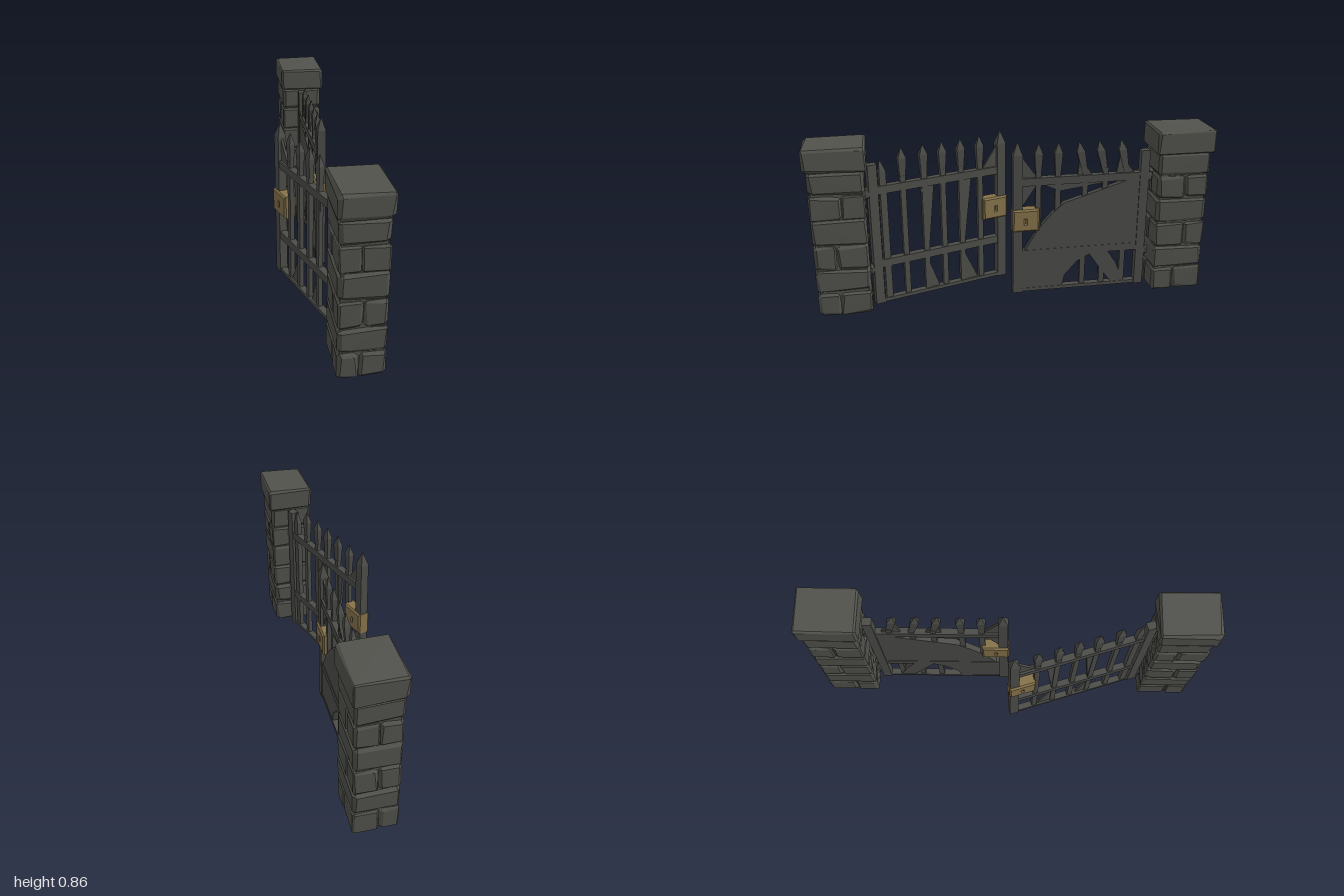
import * as THREE from 'three';
import { ConvexGeometry } from 'three/addons/geometries/ConvexGeometry.js';

const material = (name, color, side = THREE.FrontSide) => {
  const m = new THREE.MeshStandardMaterial({ color, side });
  m.name = name;
  return m;
};
const V = (x, y, z) => new THREE.Vector3(x, y, z);

export function createModel() {
  const stone = material('stone', 0x52524d);
  const iron = material('iron', 0x4c4c49, THREE.DoubleSide);
  const brass = material('brass', 0x86734b);

  let seed = 7;
  const rand = () => {
    seed = (seed * 16807) % 2147483647;
    return seed / 2147483647 - 0.5;
  };

  const add = (group, name, geometry, mat) => {
    const mesh = new THREE.Mesh(geometry, mat);
    mesh.name = name;
    group.add(mesh);
    return mesh;
  };

  // Rough hewn block: a box with uneven chamfered corners
  const block = (x0, x1, y0, y1, z0, z1, rough) => {
    const points = [];
    const c = [(x0 + x1) / 2, (y0 + y1) / 2, (z0 + z1) / 2];
    const h = [(x1 - x0) / 2, (y1 - y0) / 2, (z1 - z0) / 2];
    for (const sx of [-1, 1]) for (const sy of [-1, 1]) for (const sz of [-1, 1]) {
      const s = [sx, sy, sz];
      const cut = rough * (1 + rand());
      for (let axis = 0; axis < 3; axis++) {
        const p = c.map((v, i) => v + s[i] * (h[i] - (i === axis ? Math.abs(rand()) * 0.004 : cut * (1 + rand() * 0.6))));
        points.push(V(...p));
      }
    }
    return new ConvexGeometry(points);
  };

  // Pillars: solid and split courses alternate under a wide capstone
  const courses = [0, 0.125, 0.247, 0.377, 0.508, 0.63, 0.748];
  const makePillar = (name, zc) => {
    const g = new THREE.Group();
    g.name = name;
    const [x0, x1, z0, z1] = [-0.04, 0.176, zc - 0.132, zc + 0.132];
    const core = add(g, 'pillarCore', new THREE.BoxGeometry(0.19, 0.75, 0.235), stone);
    core.position.set(0.068, 0.385, zc);
    for (let i = 0; i < 6; i++) {
      const y0 = courses[i] + 0.001, y1 = courses[i + 1] - 0.001;
      if (i % 2) {
        add(g, 'wideStone', block(x0, x1, y0, y1, z0, z1, 0.014), stone);
        continue;
      }
      const xm = 0.066 + rand() * 0.025, zm = zc + rand() * 0.05;
      for (const [a, b] of [[x0, xm], [xm, x1]])
        for (const [c, d] of [[z0, zm], [zm, z1]])
          add(g, 'cornerStone', block(a, b, y0, y1, c, d, 0.012), stone);
    }
    add(g, 'capstone', block(-0.049, 0.187, 0.745, 0.862, zc - 0.148, zc + 0.148, 0.014), stone);
    return g;
  };

  // Straight or leaning bar made of rectangular sections [u, y, halfWidth, halfDepth]
  const bar = (sections) => new ConvexGeometry(sections.flatMap(([u, y, a, b]) =>
    [[-a, -b], [a, -b], [a, b], [-a, b]].map(([p, q]) => V(u + p, y, q))));

  const plate = (points, depth) => {
    const shape = new THREE.Shape(points.map(([u, y]) => new THREE.Vector2(u, y)));
    const geo = new THREE.ExtrudeGeometry(shape, { depth, bevelEnabled: false });
    return geo.translate(0, 0, -depth / 2);
  };

  // Gate leaf: u = 0 is the free edge, u = length the hinge edge
  const makeLeaf = (name, length, spikes, sheets) => {
    const g = new THREE.Group();
    g.name = name;
    add(g, 'lockPost', bar([[0.024, 0, 0.024, 0.021], [0.024, 0.75, 0.024, 0.021]]), iron);
    add(g, 'lockPostTip', bar([[0.024, 0.75, 0.024, 0.021], [0.024, 0.815, 0.001, 0.001]]), iron);
    add(g, 'hingePost', bar([[length - 0.023, 0, 0.023, 0.02], [length - 0.023, 0.742, 0.023, 0.02]]), iron);

    for (const [y0, y1] of [[0.003, 0.021], [0.198, 0.238], [0.588, 0.628]]) {
      const rail = add(g, 'rail', new THREE.BoxGeometry(length - 0.03, y1 - y0, 0.034), iron);
      rail.position.set(length / 2, (y0 + y1) / 2, 0);
    }

    // Upright bars with spear heads; lean shifts the tip
    for (const [u, lean] of spikes) {
      add(g, 'upright', bar([[u, 0.01, 0.014, 0.011], [u, 0.66, 0.014, 0.011]]), iron);
      add(g, 'spearHead', bar([[u, 0.63, 0.013, 0.009], [u + lean * 0.75, 0.75, 0.021, 0.014],
        [u + lean, 0.802, 0.001, 0.001]]), iron);
    }

    for (const y of [0.19, 0.6])
      add(g, 'hingeKnuckle', block(length - 0.02, length + 0.02, y - 0.025, y + 0.025, -0.018, 0.018, 0.008), iron);

    for (const [points, depth] of sheets) add(g, 'ironSheet', plate(points, depth), iron);
    add(g, 'brokenCorner', plate([[0.04, 0.62], [0.13, 0.62], [0.045, 0.74]], 0.012), iron);

    // Lock case with a keyhole cut through
    const face = new THREE.Shape([[0.004, 0.356], [0.126, 0.356], [0.126, 0.458], [0.004, 0.458]]
      .map(([u, y]) => new THREE.Vector2(u, y)));
    face.holes.push(new THREE.Path([[0.054, 0.385], [0.054, 0.42], [0.072, 0.42], [0.072, 0.385]]
      .map(([u, y]) => new THREE.Vector2(u, y))));
    const lock = new THREE.ExtrudeGeometry(face, {
      depth: 0.046, bevelThickness: 0.009, bevelSize: 0.008, bevelSegments: 1,
    });
    add(g, 'lockCase', lock.translate(0, 0, -0.023), brass);
    return g;
  };

  const model = new THREE.Group();
  model.name = 'ruinedGate';
  model.add(makePillar('leftPillar', 0.85), makePillar('rightPillar', -0.85));

  // Closed leaf, patched with a torn sheet
  const closed = makeLeaf('closedLeaf', 0.7,
    [[0.13, 0], [0.23, 0], [0.37, -0.035], [0.475, -0.038], [0.585, -0.035]],
    [
      [[[0.66, 0.61], [0.26, 0.485], [0.2, 0.43], [0.13, 0.35], [0.035, 0.19], [0.035, 0.01], [0.26, 0.015],
        [0.275, 0.08], [0.34, 0.155], [0.405, 0.19], [0.46, 0.11], [0.53, 0.015], [0.6, 0.015],
        [0.55, 0.13], [0.5, 0.205], [0.66, 0.215]], 0.03],
      [[[0.04, 0.6], [0.13, 0.6], [0.045, 0.47]], 0.012],
      [[[0.13, 0.6], [0.6, 0.6], [0.24, 0.55]], 0.02],
      [[[0.33, 0.62], [0.41, 0.62], [0.34, 0.73]], 0.012],
      [[[0.53, 0.62], [0.63, 0.62], [0.55, 0.73]], 0.012],
    ]);
  closed.position.set(0.063, 0, 0);
  closed.rotation.y = Math.PI / 2;

  // Open leaf, swung outward on its hinge
  const open = makeLeaf('openLeaf', 0.735,
    [[0.142, 0], [0.247, 0], [0.347, 0], [0.447, 0], [0.558, 0]],
    [
      [[[0.47, 0.6], [0.395, 0.6], [0.435, 0.22]], 0.012],
      [[[0.25, 0.6], [0.19, 0.6], [0.235, 0.22]], 0.012],
      [[[0.45, 0.21], [0.38, 0.015], [0.455, 0.015]], 0.012],
      [[[0.25, 0.21], [0.16, 0.015], [0.25, 0.015]], 0.012],
    ]);
  add(open, 'brokenUpright', bar([[0.66, 0.01, 0.017, 0.013], [0.66, 0.7, 0.017, 0.013], [0.668, 0.75, 0.004, 0.004]]), iron);
  open.position.set(-0.157, 0, 0.007);
  open.rotation.y = -Math.atan2(0.693, 0.222);
  model.add(closed, open);
  return model;
}
